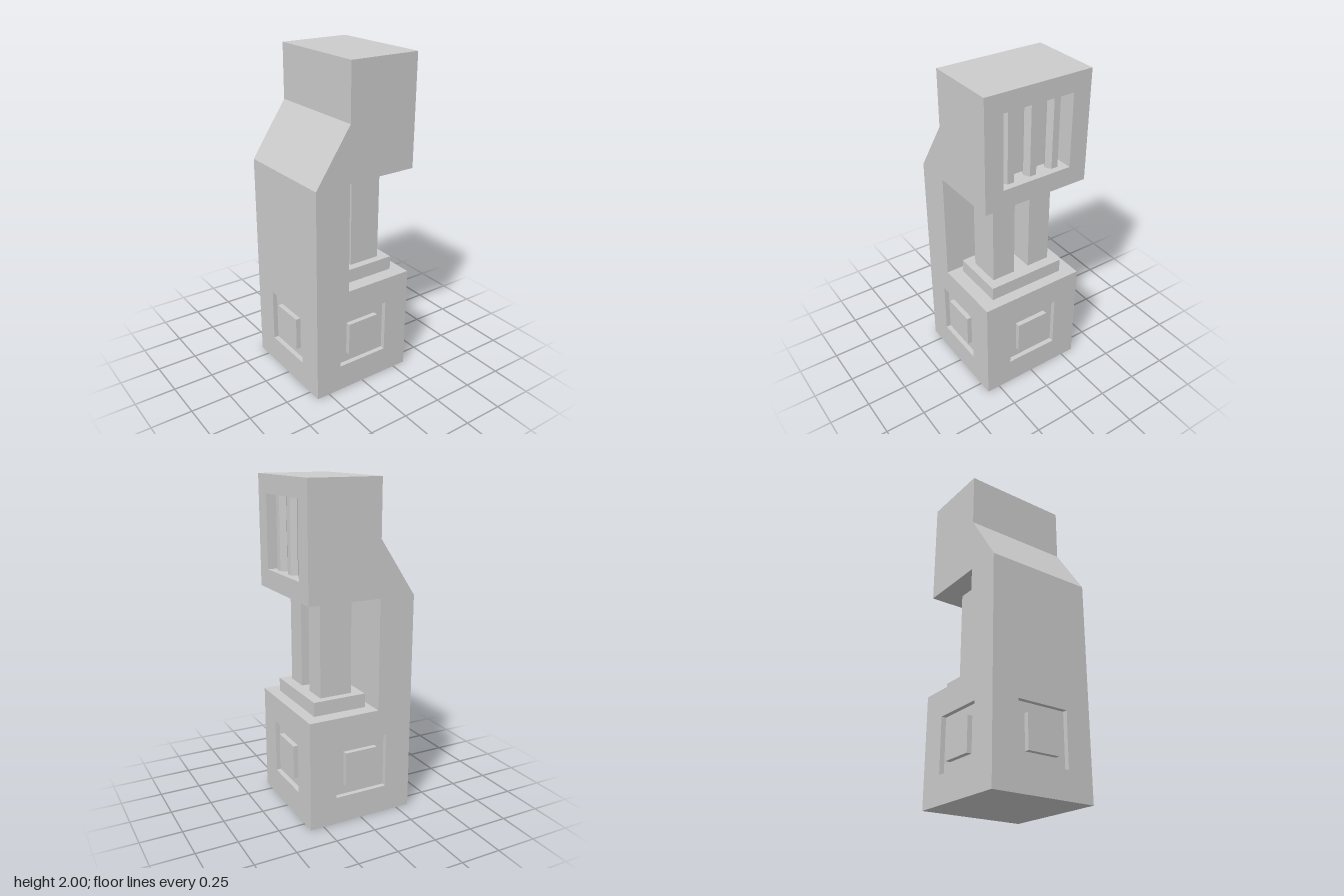
import * as THREE from 'three';

const H = 1 / 3; // half width of the square footprint
const MID = 0.335; // height of the sunken square panels
const mat = new THREE.MeshStandardMaterial({ color: 0xcccccc, flatShading: true });

function addMesh(parent, name, geometry, x = 0, y = 0, z = 0) {
  const mesh = new THREE.Mesh(geometry, mat);
  mesh.name = name;
  mesh.position.set(x, y, z);
  parent.add(mesh);
  return mesh;
}

const square = (cy, s) =>
  [[-s / 2, cy - s / 2], [-s / 2, cy + s / 2], [s / 2, cy + s / 2], [s / 2, cy - s / 2]]
    .map(p => new THREE.Vector2(...p));

// A flat wall facing local +z, with an optional square recess
function wall(name, outline, recess) {
  const group = new THREE.Group();
  group.name = name;
  const shape = new THREE.Shape(outline.map(p => new THREE.Vector2(...p)));
  if (recess) shape.holes.push(new THREE.Path(square(recess.cy, recess.size)));
  addMesh(group, name + 'Surface', new THREE.ShapeGeometry(shape));
  if (recess) {
    const { cy, size, depth } = recess;
    addMesh(group, 'recessFloor', new THREE.PlaneGeometry(size, size), 0, cy, -depth);
    for (let i = 0; i < 4; i++) {
      const side = new THREE.PlaneGeometry(size, depth);
      side.rotateX(-Math.PI / 2).translate(0, -size / 2, -depth / 2).rotateZ(i * Math.PI / 2);
      addMesh(group, 'recessSide', side, 0, cy, 0);
    }
  }
  return group;
}

// Wall with a sunken square and a raised square in its middle
function panelWall(name, outline, cy) {
  const depth = 0.03;
  const group = wall(name, outline, { cy, size: 0.334, depth });
  addMesh(group, 'raisedSquare', new THREE.BoxGeometry(0.208, 0.208, depth), 0, cy, -depth / 2);
  return group;
}

// Wall with a deep window holding three upright hexagonal bars
function windowWall(name, outline, cy) {
  const size = 0.44;
  const group = wall(name, outline, { cy, size, depth: 0.11 });
  for (const x of [-0.146, 0, 0.146]) {
    const bar = new THREE.CylinderGeometry(0.041, 0.041, size, 6).rotateY(Math.PI / 2);
    addMesh(group, 'windowBar', bar, x, cy, -0.075);
  }
  return group;
}

export function createModel() {
  const model = new THREE.Group();
  model.name = 'pillarTower';

  // Side profile of the body: base block, rear spine and overhanging head
  const profile = [
    [-H, 0], [H, 0], [H, 0.667], [-0.111, 0.667], [-0.111, 1.335],
    [H, 1.335], [H, 2], [-0.111, 2], [-0.111, 1.667], [-H, 1.335],
  ];

  // Front and back walls
  const front = panelWall('frontWall', profile, MID);
  front.position.z = H;
  const back = panelWall('backWall', profile.map(([x, y]) => [-x, y]), MID);
  back.rotation.y = Math.PI;
  back.position.z = -H;
  model.add(front, back);

  // One wall along each profile edge
  const names = ['underside', 'baseLeftWall', 'baseTop', 'spineInnerWall', 'headUnderside',
    'headLeftWall', 'headTop', 'headRightWall', 'shoulderSlope', 'spineOuterWall'];
  profile.forEach(([ax, ay], i) => {
    const [bx, by] = profile[(i + 1) % profile.length];
    const along = new THREE.Vector3(bx - ax, by - ay, 0);
    const len = along.length();
    along.normalize();
    const out = new THREE.Vector3(along.y, -along.x, 0);
    const outline = [[-H, 0], [H, 0], [H, len], [-H, len]];
    let part;
    if (i === 1) part = panelWall(names[i], outline, MID);
    else if (i === 9) part = panelWall(names[i], outline, len - MID);
    else if (i === 5) part = windowWall(names[i], outline, MID);
    else part = wall(names[i], outline);
    part.quaternion.setFromRotationMatrix(
      new THREE.Matrix4().makeBasis(new THREE.Vector3(0, 0, -1), along, out));
    part.position.set(ax, ay, 0);
    model.add(part);
  });

  // Plinth and the pair of columns carrying the head
  addMesh(model, 'plinth', new THREE.BoxGeometry(0.333, 0.085, 0.494), 0.098, 0.7095, 0);
  for (const s of [-1, 1]) {
    addMesh(model, 'column', new THREE.BoxGeometry(0.2, 0.583, 0.148), 0.1, 1.0435, s * 0.125);
  }
  return model;
}
